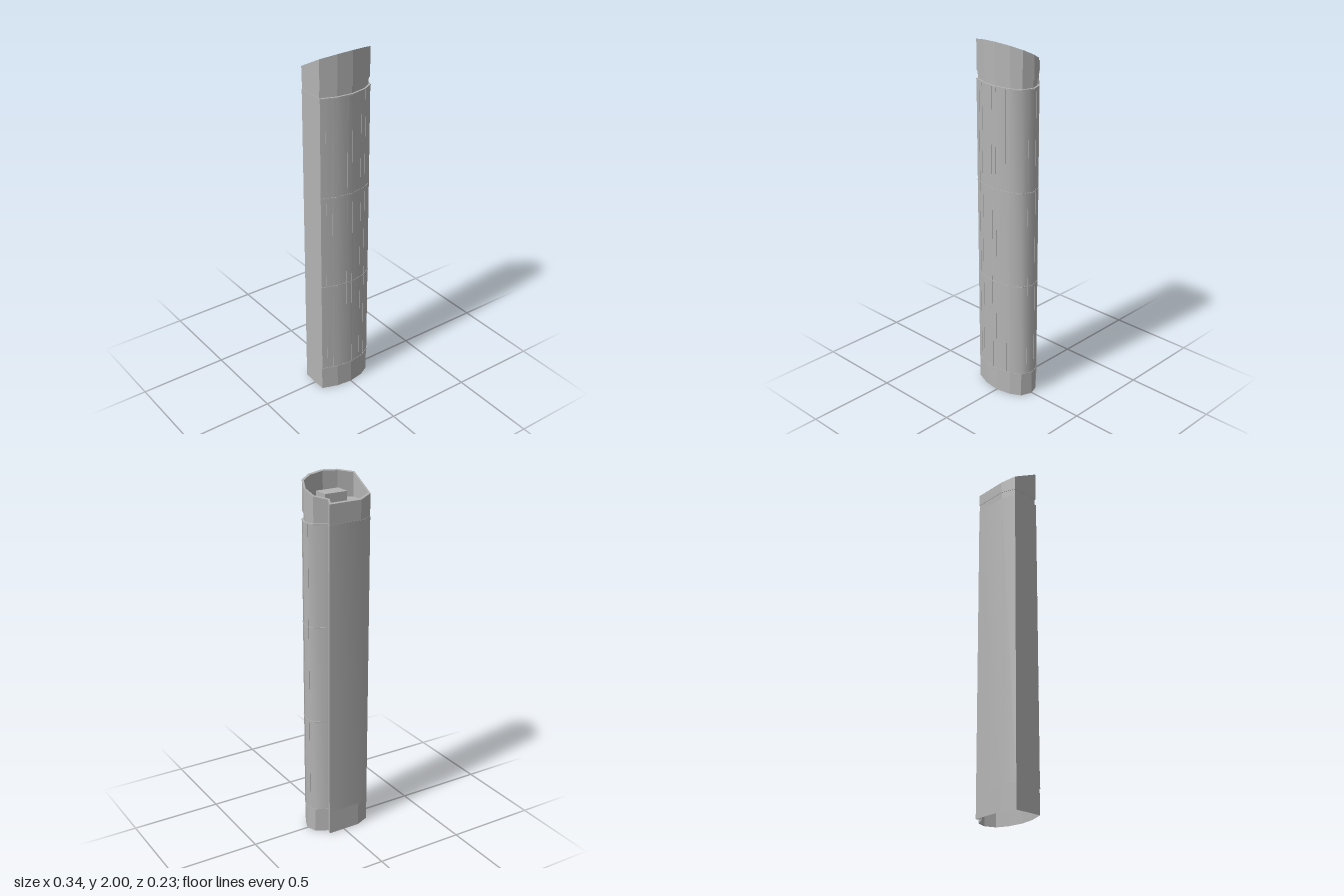
import * as THREE from 'three';
import { toCreasedNormals } from 'three/addons/utils/BufferGeometryUtils.js';

// Plan outline [x, z]: flat back, notch, then the faceted front arc
const OUTLINE = [
  [-0.17, -0.086], [-0.095, -0.118], [0.093, -0.118], [0.083, -0.091],
  [0.15, -0.056], [0.171, 0.003], [0.147, 0.065], [0.088, 0.098],
  [0, 0.114], [-0.087, 0.104], [-0.172, 0.073],
];
const N = OUTLINE.length;
const ARC = [3, 4, 5, 6, 7, 8, 9];          // edges of the curved front
const ALL = OUTLINE.map((_, i) => i);

// Move each edge inwards, by one distance on the arc and another elsewhere
function inset(arc, rest) {
  const lines = OUTLINE.map(([x, z], i) => {
    const [x2, z2] = OUTLINE[(i + 1) % N];
    const l = Math.hypot(x2 - x, z2 - z);
    const n = [(z2 - z) / l, (x - x2) / l];
    const d = ARC.includes(i) ? arc : rest;
    return [...n, n[0] * x + n[1] * z - d];
  });
  return lines.map((b, i) => {
    const a = lines[(i + N - 1) % N];
    const det = a[0] * b[1] - a[1] * b[0];
    return [(a[2] * b[1] - a[1] * b[2]) / det, (a[0] * b[2] - a[2] * b[0]) / det];
  });
}

// Skin a list of [outline, height] rings; height may depend on z
function loft(rings, edges = ALL, crease = 0) {
  const pos = [];
  const at = ([pts, y], i) => {
    const [x, z] = pts[i % N];
    return [x, typeof y === 'function' ? y(z) : y, z];
  };
  for (let r = 0; r + 1 < rings.length; r++) {
    for (const i of edges) {
      const a = at(rings[r], i), b = at(rings[r], i + 1);
      const c = at(rings[r + 1], i + 1), d = at(rings[r + 1], i);
      pos.push(...a, ...c, ...b, ...a, ...d, ...c);
    }
  }
  const geo = new THREE.BufferGeometry();
  geo.setAttribute('position', new THREE.Float32BufferAttribute(pos, 3));
  geo.computeVertexNormals();
  return crease ? toCreasedNormals(geo, crease) : geo;
}

export function createModel() {
  const group = new THREE.Group();
  const concrete = new THREE.MeshStandardMaterial({ color: 0xb4b4b4, side: THREE.DoubleSide });
  concrete.name = 'concrete grey';
  const add = (name, geo) => {
    const mesh = new THREE.Mesh(geo, concrete);
    mesh.name = name;
    group.add(mesh);
    return mesh;
  };

  const outer = inset(0, 0);
  const shaft = inset(0.002, 0);
  const core = inset(0.004, 0);
  const neck = inset(0.01, 0.002);
  const inner = inset(0.014, 0.01);
  const slant = (z) => 2 - (0.11 - z) * 0.525;
  const BASE = 0.135, TOP = 1.775, CROWN = 1.815, ROOF = 1.85;

  add('base', loft([[core, 0], [core, BASE]]));
  add('shaft', loft([[shaft, BASE], [shaft, TOP]], ALL, 0.76));
  add('baseLedge', loft([[core, BASE], [shaft, BASE]], ARC));
  add('neck', loft([[shaft, TOP], [neck, TOP], [neck, CROWN], [core, CROWN]]));

  // Crown parapet with a sloping rim
  add('crown', loft([[core, CROWN], [core, slant], [inner, slant], [inner, ROOF]]));

  // Sunken roof and plant room
  const roof = new THREE.ShapeGeometry(
    new THREE.Shape(inner.map(([x, z]) => new THREE.Vector2(x, -z))));
  add('roof', roof.rotateX(-Math.PI / 2).translate(0, ROOF, 0));
  add('plantRoom', new THREE.BoxGeometry(0.13, 0.065, 0.085))
    .position.set(0.01, ROOF + 0.0325, -0.0045);

  // Thin floor bands around the front arc
  for (const y of [BASE + 0.003, 0.68, 1.22, TOP - 0.003]) {
    add('band', loft([[shaft, y - 0.003], [outer, y - 0.003],
      [outer, y + 0.003], [shaft, y + 0.003]], ARC));
  }

  // Slim vertical ribs: [arc edge, position along it]
  const ribs = [[9, 0.66], [9, 0.28], [8, 0.34], [7, 0.98], [7, 0.28],
    [6, 0.88], [5, 0.47], [4, 0.6]];
  for (const [i, t] of ribs) {
    const [x1, z1] = shaft[i], [x2, z2] = shaft[(i + 1) % N];
    const rib = add('rib', new THREE.BoxGeometry(0.004, TOP - BASE, 0.003));
    rib.position.set(x1 + (x2 - x1) * t, (TOP + BASE) / 2, z1 + (z2 - z1) * t);
    rib.rotation.y = Math.atan2(z1 - z2, x2 - x1);
  }
  return group;
}
